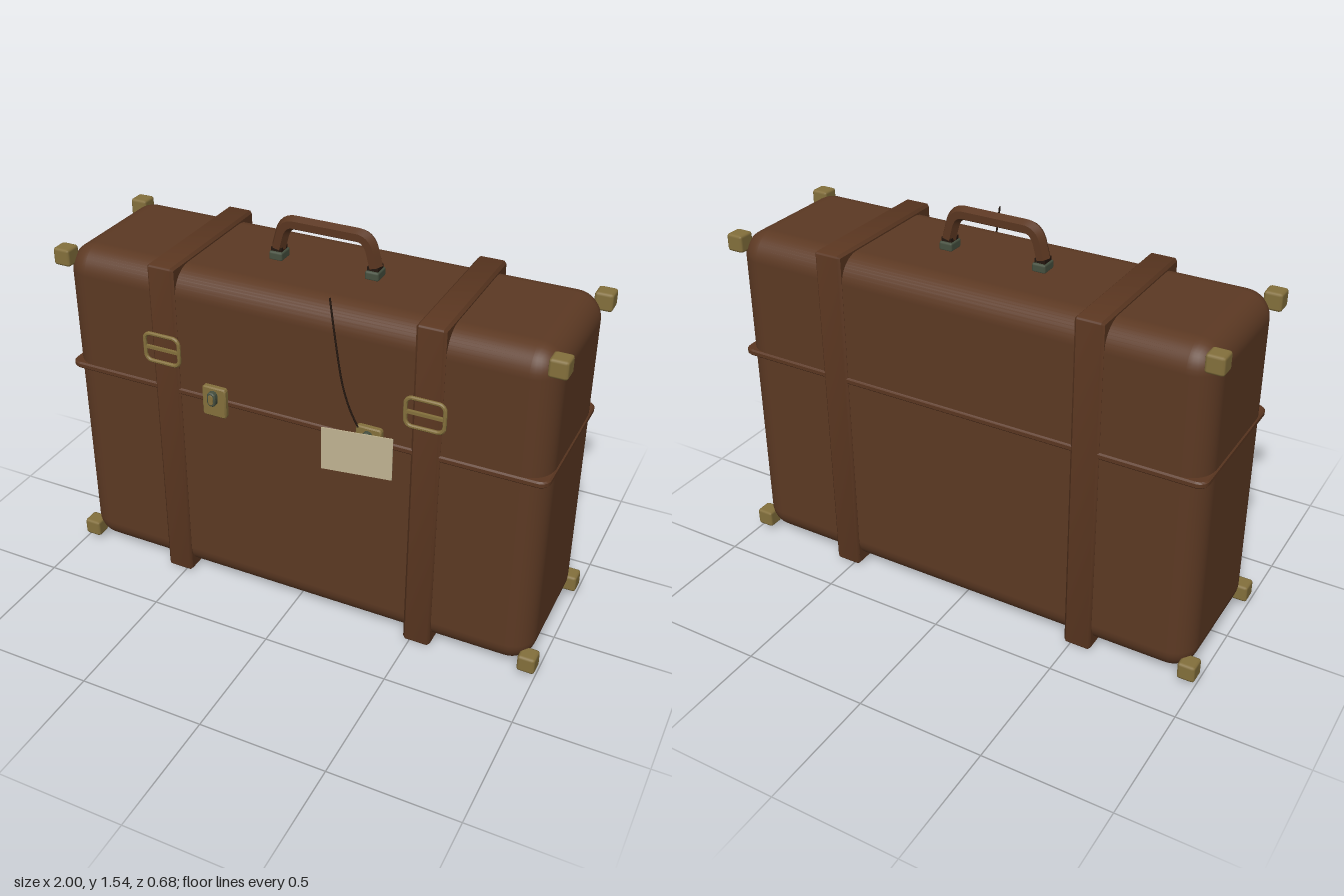
import * as THREE from 'three';
import { RoundedBoxGeometry } from 'three/addons/geometries/RoundedBoxGeometry.js';
import { toCreasedNormals } from 'three/addons/utils/BufferGeometryUtils.js';

const material = (name, color) => {
  const m = new THREE.MeshStandardMaterial({ color });
  m.name = name;
  return m;
};

// Rounded rectangle outline centred on (0, 0)
function roundRect(w, h, r, target = new THREE.Shape()) {
  const x = w / 2 - r, y = h / 2 - r;
  target.absarc(x, y, r, 0, Math.PI / 2);
  target.absarc(-x, y, r, Math.PI / 2, Math.PI);
  target.absarc(-x, -y, r, Math.PI, Math.PI * 1.5);
  target.absarc(x, -y, r, Math.PI * 1.5, Math.PI * 2);
  target.closePath();
  return target;
}

// Bevelled plate of the outline, centred on its thickness
function plate(shape, thickness, bevel) {
  const g = new THREE.ExtrudeGeometry(shape, {
    depth: thickness - 2 * bevel, curveSegments: 4,
    bevelThickness: bevel, bevelSize: bevel, bevelOffset: -bevel, bevelSegments: 1,
  });
  g.translate(0, 0, -(thickness - 2 * bevel) / 2);
  return toCreasedNormals(g, 0.6);
}

export function createModel() {
  const leather = material('brown leather', 0x5c3923);
  const trim = material('strap leather', 0x5a3620);
  const brass = material('brass', 0x84703c);
  const dark = material('tarnished metal', 0x46503f);
  const paper = material('tag paper', 0xc0b391);
  const cordColor = material('dark cord', 0x24170f);

  const model = new THREE.Group();
  model.name = 'suitcase';
  const add = (name, geometry, mat, x = 0, y = 0, z = 0, parent = model) => {
    const mesh = new THREE.Mesh(geometry, mat);
    mesh.name = name;
    mesh.position.set(x, y, z);
    parent.add(mesh);
    return mesh;
  };

  const cy = 0.692, cz = -0.038;

  // Case shell and the rim where lid meets base
  add('caseBody', new RoundedBoxGeometry(1.94, 1.345, 0.586, 5, 0.1), leather, 0, cy, cz);
  const rim = plate(roundRect(1.95, 0.6, 0.04), 0.026, 0.006);
  rim.rotateX(-Math.PI / 2);
  add('lidRim', rim, trim, 0, 0.868, cz);

  // Straps wrapped right around the case
  const loop = roundRect(0.608, 1.376, 0.012);
  loop.holes.push(roundRect(0.575, 1.335, 0.04, new THREE.Path()));
  const strapGeometry = plate(loop, 0.11, 0.01);
  strapGeometry.rotateY(-Math.PI / 2);

  // Buckle frame
  const frame = roundRect(0.16, 0.128, 0.032);
  frame.holes.push(roundRect(0.132, 0.1, 0.02, new THREE.Path()));
  const frameGeometry = plate(frame, 0.014, 0.004);

  for (const side of [-1, 1]) {
    const label = side > 0 ? 'left' : 'right';
    const x = side * 0.528;
    add(label + 'Strap', strapGeometry, trim, x, cy, cz);

    const buckle = new THREE.Group();
    buckle.name = label + 'Buckle';
    buckle.position.set(x, 1.048, 0.282);
    model.add(buckle);
    add('buckleFrame', frameGeometry, brass, 0, 0, 0, buckle);
    add('buckleBar', new THREE.BoxGeometry(0.15, 0.012, 0.012), brass, 0, 0, 0, buckle);

    // Latch: plate with a raised oval catch
    const latch = new THREE.Group();
    latch.name = label + 'Latch';
    latch.position.set(side * 0.316, 0.872, 0);
    model.add(latch);
    add('latchPlate', plate(roundRect(0.1, 0.126, 0.012), 0.026, 0.005), brass, 0, 0, 0.267, latch);
    add('latchCatch', plate(roundRect(0.036, 0.06, 0.0179), 0.024, 0.004), dark, 0, 0.022, 0.29, latch);
    add('latchFace', plate(roundRect(0.02, 0.042, 0.0099), 0.004, 0.001), brass, 0, 0.022, 0.3025, latch);

    // Handle mount
    add(label + 'HandleMount', new RoundedBoxGeometry(0.055, 0.035, 0.07, 1, 0.008),
      dark, side * 0.193, 1.378, cz + 0.004);
    add(label + 'HandleCollar', new THREE.BoxGeometry(0.042, 0.02, 0.05),
      cordColor, side * 0.193, 1.4, cz + 0.004);

    // Brass corner caps
    for (const y of [0.061, 1.325]) for (const z of [0.228, -0.302]) {
      add(label + 'CornerCap', new RoundedBoxGeometry(0.07, 0.07, 0.07, 1, 0.011), brass, side * 0.965, y, z);
    }
  }

  // Six-sided handle grip swept along an arched path
  const v = (x, y, z = 0) => new THREE.Vector3(x, y, z);
  const path = new THREE.CurvePath();
  path.add(new THREE.LineCurve3(v(-0.195, 1.405), v(-0.18, 1.462)));
  path.add(new THREE.QuadraticBezierCurve3(v(-0.18, 1.462), v(-0.166, 1.512), v(-0.125, 1.512)));
  path.add(new THREE.LineCurve3(v(-0.125, 1.512), v(0.125, 1.512)));
  path.add(new THREE.QuadraticBezierCurve3(v(0.125, 1.512), v(0.166, 1.512), v(0.18, 1.462)));
  path.add(new THREE.LineCurve3(v(0.18, 1.462), v(0.195, 1.405)));
  const hexagon = new THREE.Shape(Array.from({ length: 6 }, (_, i) => {
    const a = Math.PI / 2 + i * Math.PI / 3;
    return new THREE.Vector2(Math.cos(a) * 0.03, Math.sin(a) * 0.028);
  }));
  const grip = new THREE.ExtrudeGeometry(hexagon, { steps: 40, extrudePath: path, bevelEnabled: false });
  add('handleGrip', toCreasedNormals(grip, 0.5), trim, 0, 0, cz + 0.004);

  // Paper tag, turned slightly, with its loose cord
  const tag = add('tag', new THREE.BoxGeometry(0.264, 0.175, 0.004), paper, 0.29, 0.842, 0.318);
  tag.rotation.y = 0.148;
  const cord = new THREE.CatmullRomCurve3([
    v(0.168, 1.42, 0.288), v(0.197, 1.27, 0.303), v(0.232, 1.11, 0.317), v(0.262, 1.02, 0.319), v(0.293, 0.955, 0.318),
  ]);
  add('tagCord', new THREE.TubeGeometry(cord, 20, 0.0035, 6), cordColor);

  return model;
}
